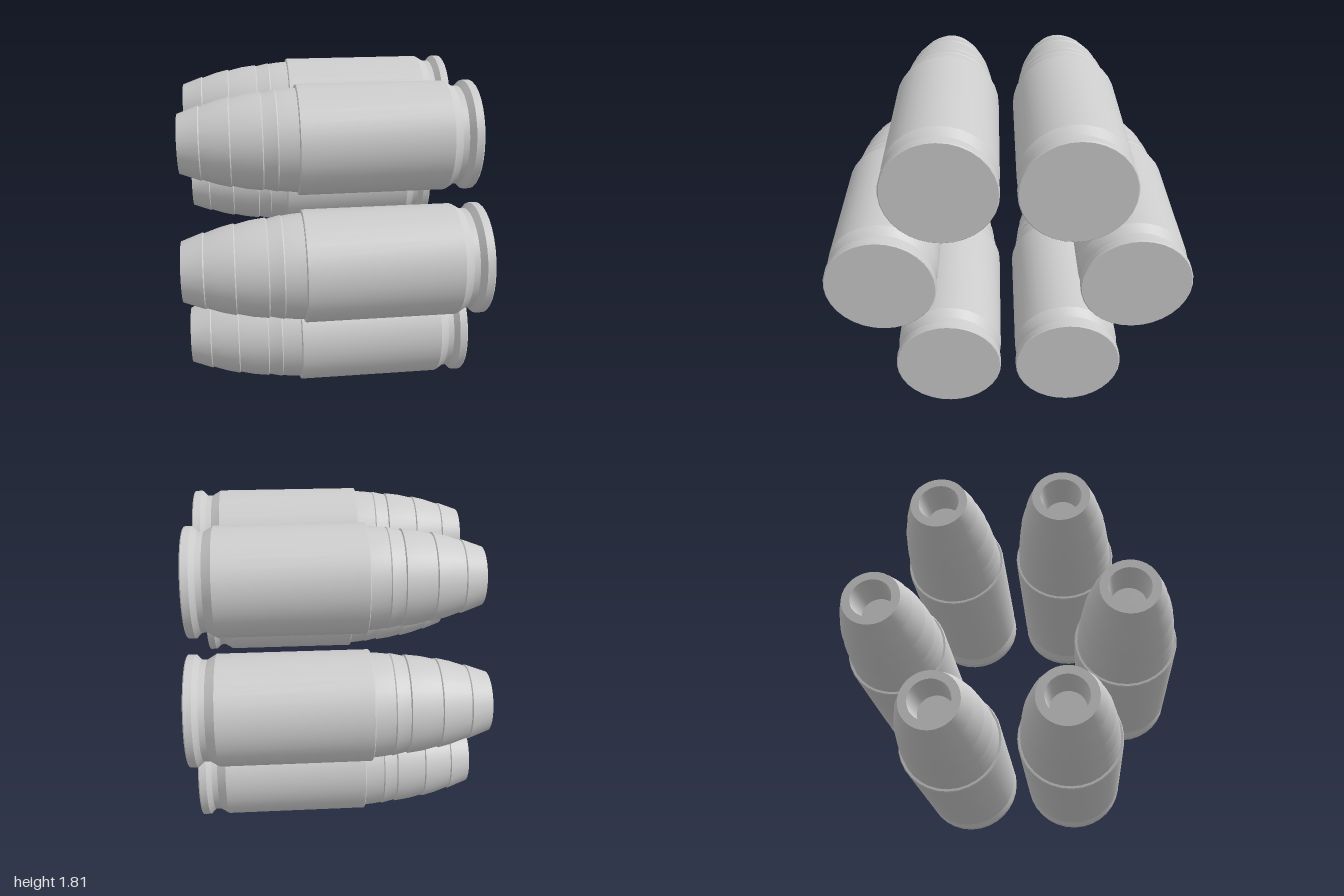
import * as THREE from 'three';
import { toCreasedNormals } from 'three/addons/utils/BufferGeometryUtils.js';

const SIDES = 32;
const RADIUS = 0.305;      // case radius
const RING = 0.695;        // radius of the six-round ring

// Turn a [x along axis, radius] profile about the x axis, tip towards -x
function turned(profile) {
  const points = profile.map(([x, r]) => new THREE.Vector2(r, x));
  const geometry = new THREE.LatheGeometry(points, SIDES);
  geometry.rotateZ(-Math.PI / 2);
  return toCreasedNormals(geometry, 0.3);
}

export function createModel() {
  const model = new THREE.Group();
  model.name = 'cartridgeRing';

  const metal = new THREE.MeshStandardMaterial({ color: 0xcccccc });
  metal.name = 'grey metal';

  // Hollow tip, then stepped rings that swell towards the case
  const bulletGeometry = turned([
    [-0.62, 0], [-0.62, 0.1], [-0.813, 0.115], [-0.813, 0.163],
    [-0.698, 0.205], [-0.692, 0.2],
    [-0.61, 0.228], [-0.536, 0.246], [-0.53, 0.24],
    [-0.45, 0.259], [-0.365, 0.27], [-0.359, 0.263],
    [-0.285, 0.28], [-0.279, 0.276],
    [-0.23, 0.283], [-0.16, 0.288],
  ]);

  // Straight case with a bevelled mouth, extractor groove and rim
  const caseGeometry = turned([
    [-0.172, 0.28], [-0.172, 0.3], [-0.167, RADIUS],
    [0.65, RADIUS], [0.7, 0.275], [0.733, 0.275],
    [0.757, 0.3], [0.762, RADIUS], [0.802, RADIUS], [0.808, 0.299], [0.808, 0],
  ]);

  // Six rounds in a hexagon, lying along x
  const centreY = RING * Math.sin(Math.PI / 3) + RADIUS;
  for (let i = 0; i < 6; i++) {
    const angle = (i * Math.PI) / 3;
    const round = new THREE.Group();
    round.name = `cartridge${i + 1}`;
    const bullet = new THREE.Mesh(bulletGeometry, metal);
    bullet.name = 'bullet';
    const shell = new THREE.Mesh(caseGeometry, metal);
    shell.name = 'case';
    round.add(bullet, shell);
    round.position.set(0, centreY + RING * Math.sin(angle), RING * Math.cos(angle));
    model.add(round);
  }
  return model;
}
